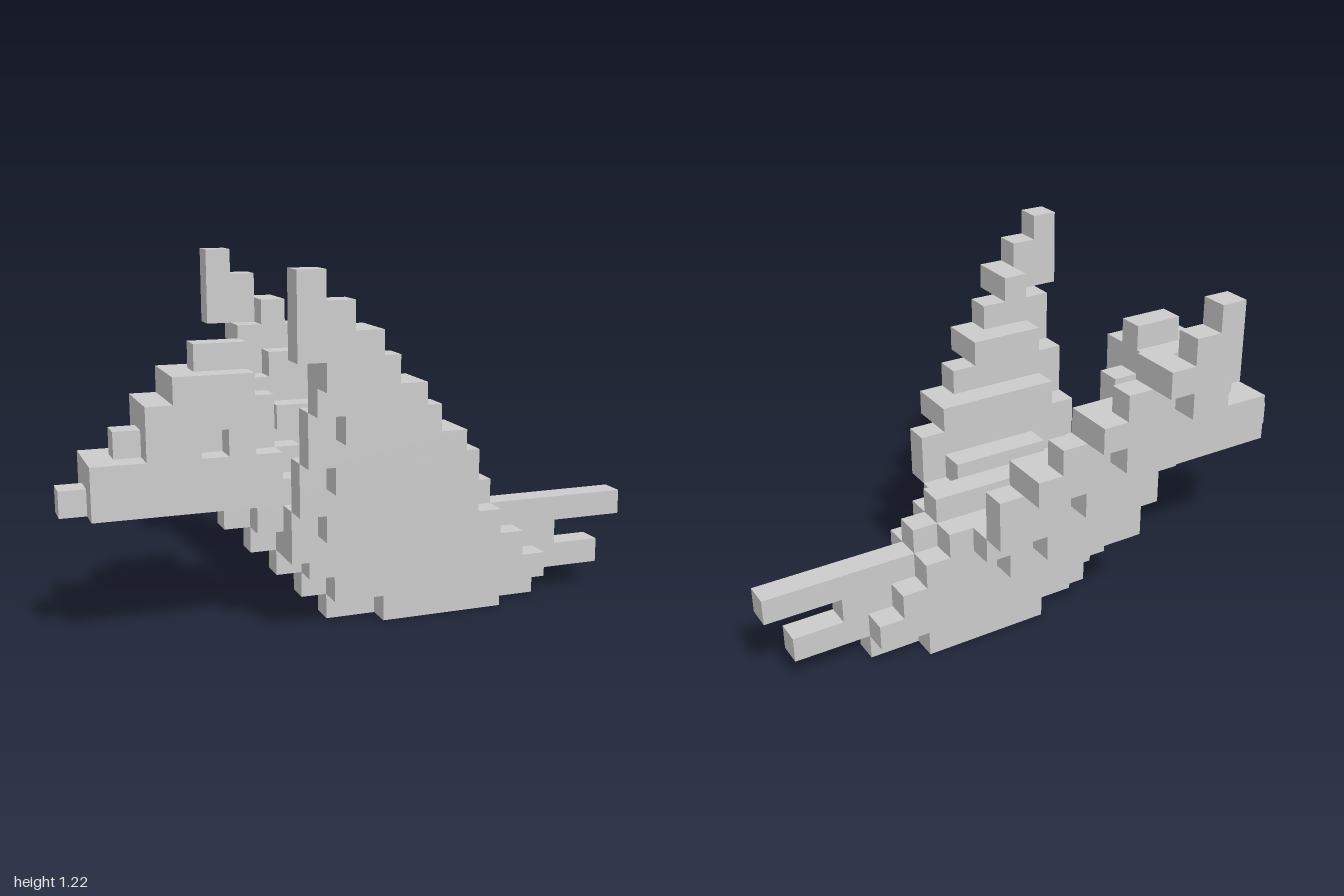
import * as THREE from 'three';

const U = 2 / 23; // one block
const material = new THREE.MeshStandardMaterial({ color: 0xcccccc, flatShading: true });

// One slice, one block thick in z. Each run is [row, first column, last column].
function slice(name, layer, runs) {
  const group = new THREE.Group();
  group.name = name;
  for (const [row, first, last] of runs) {
    const length = last - first + 1;
    const mesh = new THREE.Mesh(new THREE.BoxGeometry(length * U, U, U), material);
    mesh.name = name + 'Row';
    mesh.position.set((first + length / 2) * U - 1, (row + 0.5) * U, layer * U);
    group.add(mesh);
  }
  return group;
}

export function createModel() {
  const model = new THREE.Group();
  model.name = 'blockBird';

  // Middle of the bird: keel, forked tail, back ridge, beak and crest
  model.add(slice('bodyCore', 0, [
    [0, 10, 18], [1, 9, 21], [2, 8, 19], [3, 7, 22], [4, 6, 16],
    [5, 0, 15], [6, 1, 8], [7, 2, 7], [8, 3, 7], [9, 4, 6], [10, 5, 6],
  ]));

  // Flanks and cheeks, with a one-block recess for the eye in row 7
  const flank = [
    [0, 12, 16], [1, 10, 18], [2, 9, 17], [3, 8, 16], [4, 7, 15],
    [5, 1, 8], [6, 1, 7], [7, 3, 4], [7, 6, 6], [8, 3, 6], [9, 4, 6],
  ];

  // Raised wing, from root to tip
  const wing = [
    [[3, 8, 13], [4, 8, 14], [5, 10, 13]],
    [[4, 9, 12], [5, 8, 14], [6, 8, 14], [7, 9, 13]],
    [[6, 9, 11], [7, 8, 13], [8, 8, 12], [9, 9, 11]],
    [[8, 9, 10], [9, 8, 11], [10, 8, 10], [11, 9, 9]],
    [[10, 8, 8], [11, 7, 9], [12, 7, 8], [13, 7, 7]],
  ];

  for (const side of [1, -1]) {
    const label = side > 0 ? 'front' : 'back';
    model.add(slice(label + 'Flank', side, flank));
    const wingGroup = new THREE.Group();
    wingGroup.name = label + 'Wing';
    wing.forEach((runs, i) => wingGroup.add(slice(label + 'WingTier', side * (i + 2), runs)));
    model.add(wingGroup);
  }
  return model;
}
